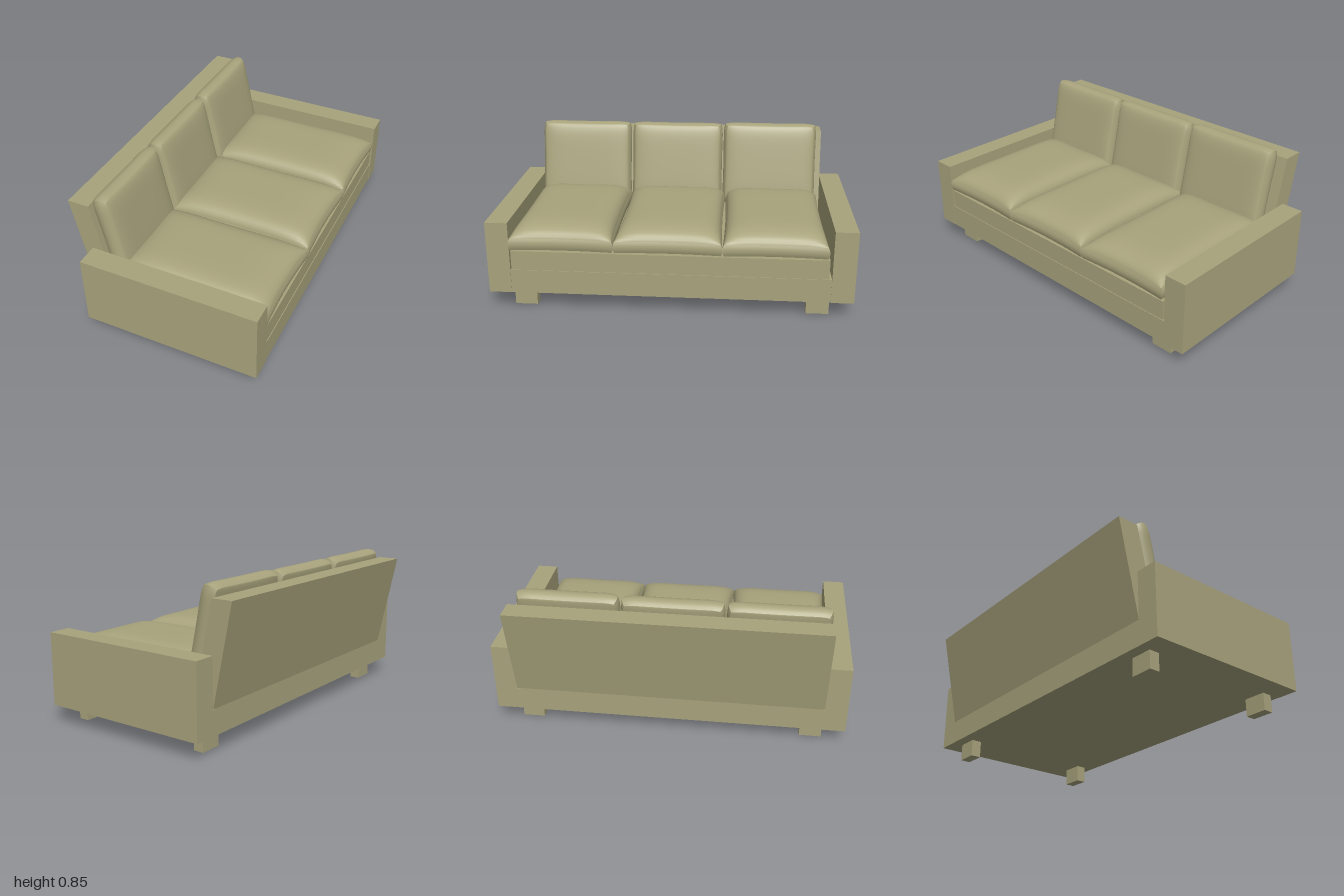
import * as THREE from 'three';

const fabric = new THREE.MeshStandardMaterial({ color: 0xa8a37c });

function add(parent, name, geometry) {
  const mesh = new THREE.Mesh(geometry, fabric);
  mesh.name = name;
  parent.add(mesh);
  return mesh;
}

// Box given by its minimum and maximum along each axis
function block(parent, name, [x0, x1], [y0, y1], [z0, z1]) {
  const mesh = add(parent, name, new THREE.BoxGeometry(x1 - x0, y1 - y0, z1 - z0));
  mesh.position.set((x0 + x1) / 2, (y0 + y1) / 2, (z0 + z1) / 2);
  return mesh;
}

// Stuffed cushion: a box with domed faces, rounded rim, pinched sides and softened corners
function cushion(length, width, { rim, top, bottom, bulge, pinch, corner }) {
  const g = new THREE.BoxGeometry(2, 2, 2, 24, 6, 24);
  const p = g.attributes.position;
  const ease = (t) => Math.sin(t * Math.PI / 2);
  for (let i = 0; i < p.count; i++) {
    const u = ease(p.getX(i)), w = p.getY(i), v = ease(p.getZ(i));
    const dome = Math.pow(Math.max(0, (1 - u ** 6) * (1 - v ** 6)), 0.6);
    const full = w > 0 ? top : bottom;
    const y = w * (rim + (full - rim) * dome);
    const side = bulge * (1 - w * w);
    const shape = (a, b) => a * (1 - pinch * (1 - b * b) - corner * b ** 12);
    const x = shape(u, v) * (length / 2 - bulge) + side * u ** 15;
    const z = shape(v, u) * (width / 2 - bulge) + side * v ** 15;
    p.setXYZ(i, x, y, z);
  }
  g.computeVertexNormals();
  return g;
}

export function createModel() {
  const sofa = new THREE.Group();
  sofa.name = 'sofa';

  // Frame
  block(sofa, 'base', [-0.45, 0.56], [0.1, 0.235], [-0.875, 0.875]);
  block(sofa, 'seatPlatform', [-0.45, 0.556], [0.235, 0.345], [-0.86, 0.87]);
  for (const s of [1, -1]) {
    const side = s > 0 ? 'left' : 'right';
    const span = (a, b) => (s > 0 ? [a, b] : [-b, -a]);
    block(sofa, side + 'Arm', [-0.45, 0.563], [0.1, 0.51], span(0.875, 1));
    block(sofa, side + 'RearLeg', [-0.385, -0.325], [0, 0.1], span(0.75, 0.875));
    block(sofa, side + 'FrontLeg', [0.44, 0.5], [0, 0.1], span(0.75, 0.875));
  }

  // Leaning backrest, a slanted profile run along the width
  const profile = new THREE.Shape([
    [-0.45, 0.24], [-0.325, 0.24], [-0.445, 0.79], [-0.567, 0.79],
  ].map(([x, y]) => new THREE.Vector2(x, y)));
  const backGeometry = new THREE.ExtrudeGeometry(profile, { depth: 1.75, bevelEnabled: false });
  add(sofa, 'backrest', backGeometry.translate(0, 0, -0.875));

  // Three seat cushions and three back cushions
  const lean = 0.21;
  const spans = [
    { name: 'right', seat: [-0.855, -0.285], back: [-0.84, -0.265], lift: 0.006 },
    { name: 'middle', seat: [-0.285, 0.305], back: [-0.262, 0.305], lift: 0 },
    { name: 'left', seat: [0.305, 0.88], back: [0.31, 0.873], lift: 0 },
  ];
  for (const { name, seat, back, lift } of spans) {
    const seatMesh = add(sofa, name + 'SeatCushion', cushion(0.88, seat[1] - seat[0],
      { rim: 0.033, top: 0.105, bottom: 0.04, bulge: 0.008, pinch: 0.03, corner: 0 }));
    seatMesh.position.set(0.125, 0.385, (seat[0] + seat[1]) / 2);

    const backMesh = add(sofa, name + 'BackCushion', cushion(0.51, back[1] - back[0],
      { rim: 0.042, top: 0.062, bottom: 0.05, bulge: 0.016, pinch: 0.012, corner: 0.04 }));
    backMesh.rotation.z = lean - Math.PI / 2;
    backMesh.position.set(-0.342, 0.595 + lift, (back[0] + back[1]) / 2);
  }
  return sofa;
}
